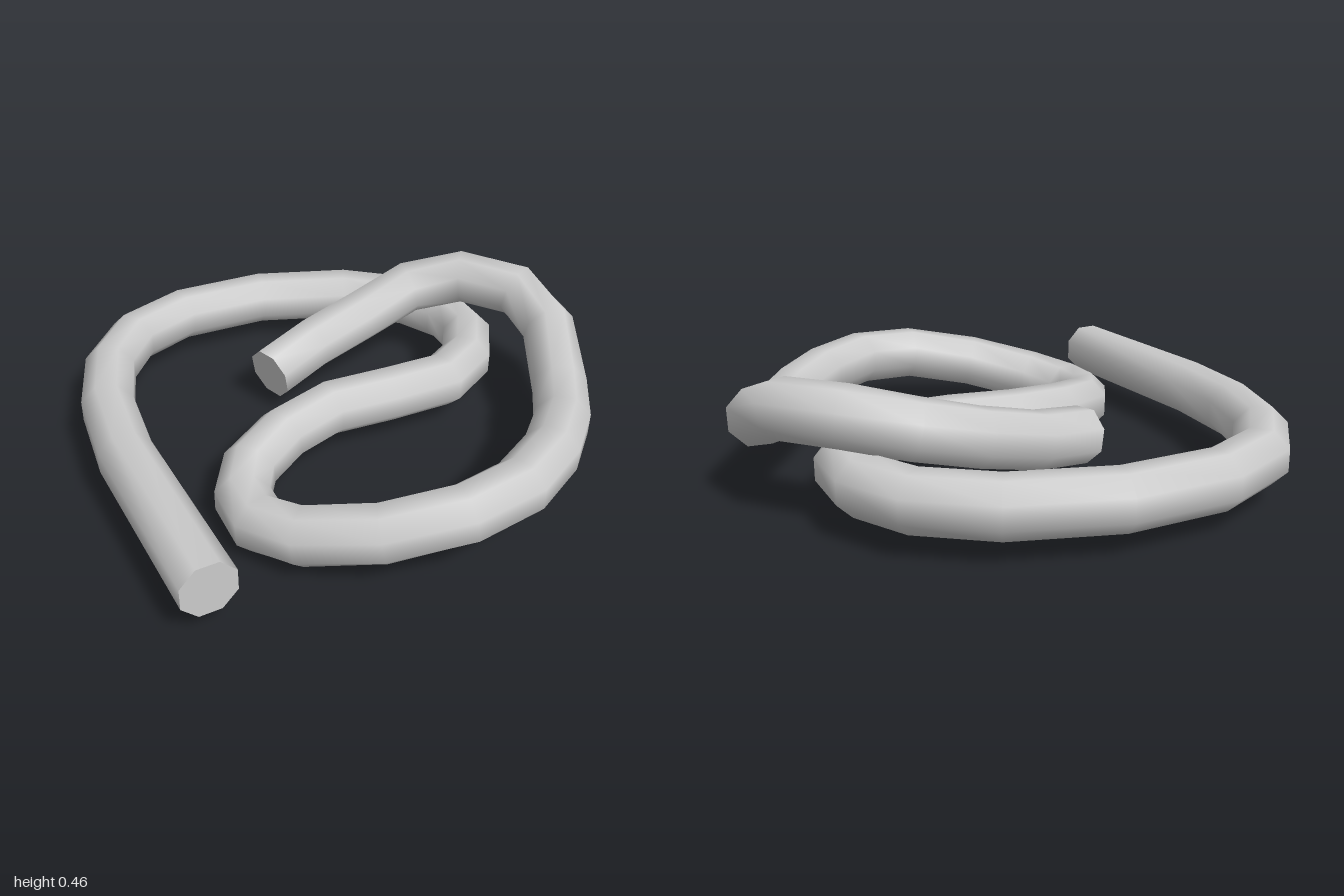
import * as THREE from 'three';

const RADIUS = 0.101;
const SIDES = 8;

// Centre line of the bent tube, from the long free end to the inner one
const PATH = [
  [-0.91, 0.17, 0.38], [-0.65, 0.17, -0.29], [-0.5, 0.17, -0.56], [-0.32, 0.17, -0.76],
  [-0.11, 0.17, -0.865], [0.15, 0.17, -0.855], [0.46, 0.17, -0.71], [0.72, 0.17, -0.465],
  [0.845, 0.17, -0.23], [0.855, 0.17, -0.03], [0.78, 0.17, 0.13], [0.63, 0.17, 0.23],
  [0.45, 0.17, 0.25], [0.245, 0.168, 0.155], [0.04, 0.16, 0.04], [-0.175, 0.14, 0],
  [-0.365, 0.115, 0.02], [-0.485, 0.097, 0.1], [-0.545, 0.098, 0.23], [-0.52, 0.125, 0.4],
  [-0.395, 0.18, 0.62], [-0.2, 0.23, 0.79], [0.015, 0.243, 0.855], [0.245, 0.233, 0.83],
  [0.45, 0.217, 0.755], [0.64, 0.212, 0.635], [0.86, 0.295, 0.445], [0.905, 0.37, 0.265],
  [0.85, 0.375, 0.04], [0.71, 0.33, -0.115], [0.495, 0.26, -0.19], [0.285, 0.205, -0.255],
  [0.055, 0.165, -0.275],
].map((p) => new THREE.Vector3(...p));

// One octagonal cross-section, flat side up, on the mitre plane of the bend
function ring(i) {
  const ahead = PATH[Math.min(i + 1, PATH.length - 1)].clone().sub(PATH[Math.min(i, PATH.length - 2)]).normalize();
  const behind = PATH[Math.max(i, 1)].clone().sub(PATH[Math.max(i - 1, 0)]).normalize();
  const tangent = ahead.add(behind).normalize();
  const side = new THREE.Vector3().crossVectors(tangent, new THREE.Vector3(0, 1, 0)).normalize();
  const up = new THREE.Vector3().crossVectors(side, tangent);
  return Array.from({ length: SIDES }, (_, k) => {
    const a = ((k + 0.5) / SIDES) * Math.PI * 2;
    return PATH[i].clone()
      .addScaledVector(side, Math.cos(a) * RADIUS)
      .addScaledVector(up, Math.sin(a) * RADIUS);
  });
}

function buildGeometry(points, index) {
  const geometry = new THREE.BufferGeometry().setFromPoints(points);
  geometry.setIndex(index);
  geometry.computeVertexNormals();
  return geometry;
}

// Smooth skin joining the cross-sections
function skin(rings) {
  const index = [];
  for (let i = 0; i < rings.length - 1; i++) {
    for (let k = 0; k < SIDES; k++) {
      const a = i * SIDES + k;
      const b = i * SIDES + ((k + 1) % SIDES);
      index.push(a, a + SIDES, b, b, a + SIDES, b + SIDES);
    }
  }
  return buildGeometry(rings.flat(), index);
}

// Flat disc closing one end
function cap(points, flip) {
  const index = [];
  for (let k = 1; k < SIDES - 1; k++) index.push(0, flip ? k + 1 : k, flip ? k : k + 1);
  return buildGeometry(points, index);
}

export function createModel() {
  const group = new THREE.Group();
  group.name = 'bentTube';
  const material = new THREE.MeshStandardMaterial({ color: 0xcccccc });
  const rings = PATH.map((_, i) => ring(i));
  const add = (name, geometry) => {
    const mesh = new THREE.Mesh(geometry, material);
    mesh.name = name;
    group.add(mesh);
  };
  add('tubeSkin', skin(rings));
  add('outerEndCap', cap(rings[0], false));
  add('innerEndCap', cap(rings[rings.length - 1], true));
  return group;
}
